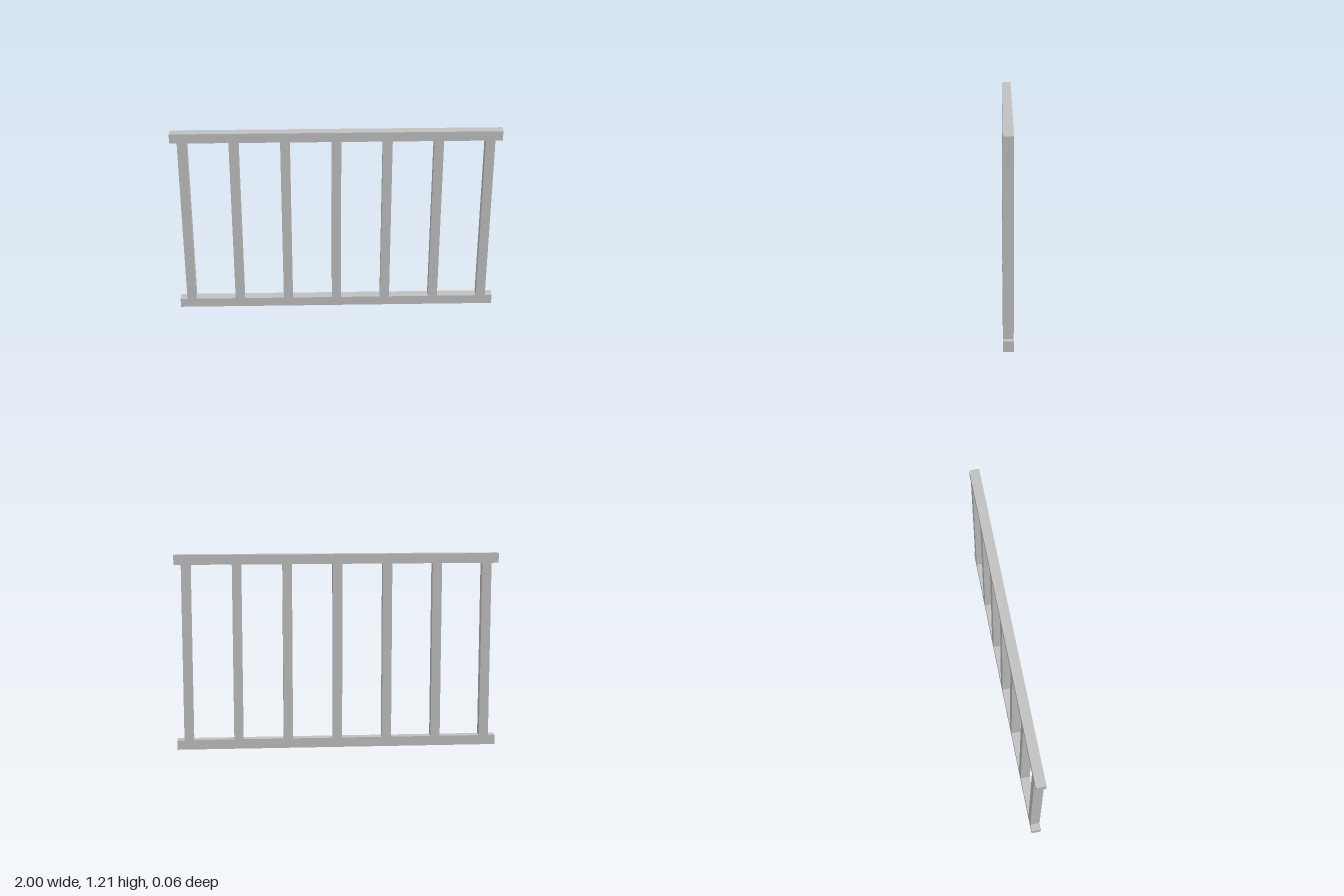
import * as THREE from 'three';

export function createModel() {
  const model = new THREE.Group();
  model.name = 'railing';
  const metal = new THREE.MeshStandardMaterial({ color: 0xc0c0c0 });
  metal.name = 'grey metal';

  const height = 1.214, bar = 0.06, postCount = 7, spacing = 0.309;

  function addBar(name, w, h, x, y) {
    const mesh = new THREE.Mesh(new THREE.BoxGeometry(w, h, bar), metal);
    mesh.name = name;
    mesh.position.set(x, y, 0);
    model.add(mesh);
  }

  // Horizontal rails
  addBar('bottomRail', 2, bar, 0, bar / 2);
  addBar('topRail', 2, bar, 0, height - bar / 2);

  // Evenly spaced posts standing between the rails
  for (let i = 0; i < postCount; i++) {
    const x = (i - (postCount - 1) / 2) * spacing;
    addBar('post' + (i + 1), 0.058, height - 2 * bar, x, height / 2);
  }
  return model;
}
